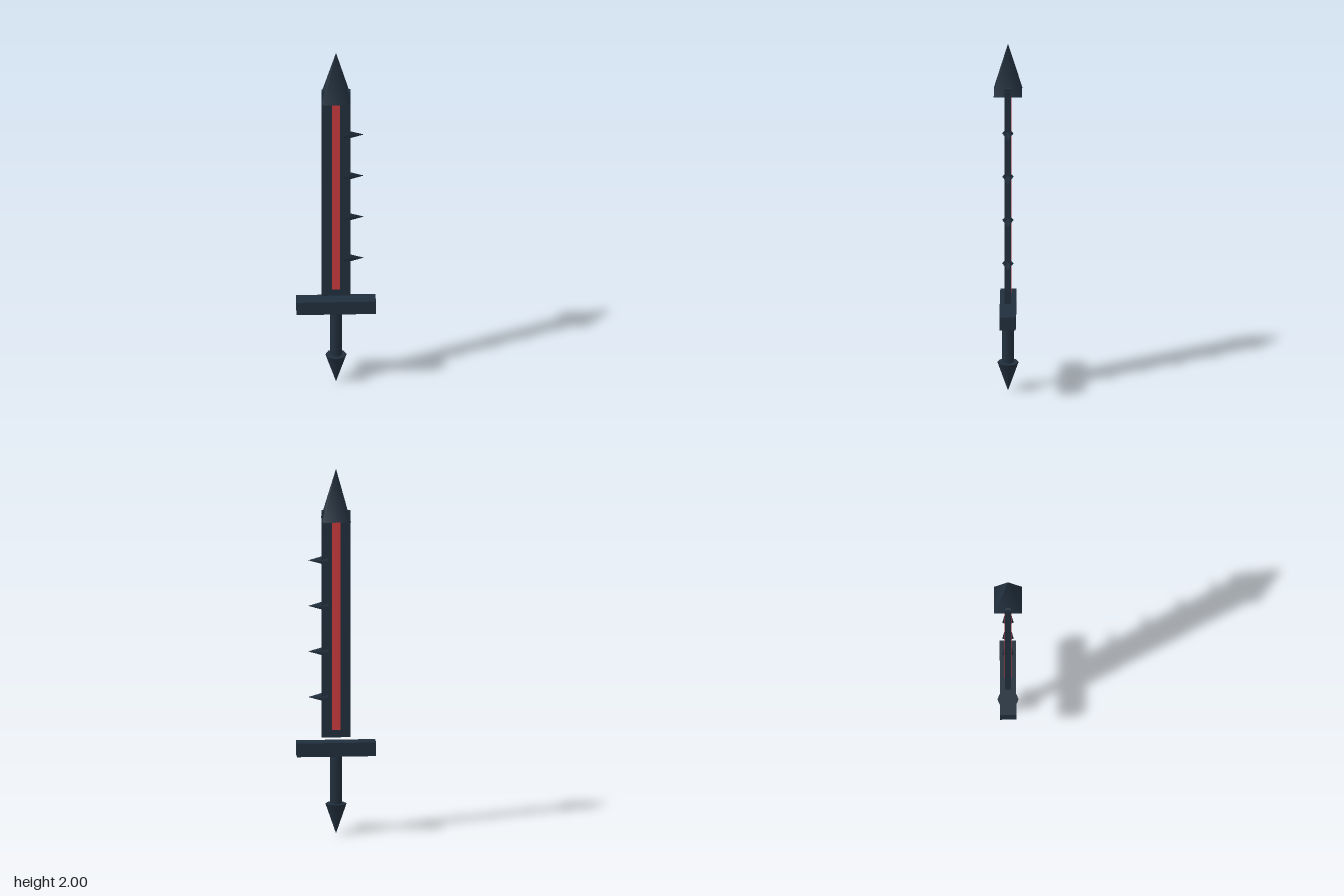
import * as THREE from 'three';

export function createModel() {
  const sword = new THREE.Group();
  sword.name = 'sword';

  const darkSteel = new THREE.MeshStandardMaterial({ color: 0x212f3d });
  darkSteel.name = 'dark steel';
  const red = new THREE.MeshStandardMaterial({ color: 0xcc3c3e });
  red.name = 'red inlay';

  const add = (name, geometry, material, x, y) => {
    const mesh = new THREE.Mesh(geometry, material);
    mesh.name = name;
    mesh.position.set(x, y, 0);
    sword.add(mesh);
    return mesh;
  };

  // Pommel: cone pointing down
  add('pommel', new THREE.ConeGeometry(0.057, 0.165, 8).rotateX(Math.PI), darkSteel, 0, 0.0825);

  // Grip and crossguard
  add('grip', new THREE.CylinderGeometry(0.031, 0.031, 0.3, 8), darkSteel, 0, 0.295);
  add('crossguard', new THREE.BoxGeometry(0.426, 0.075, 0.088), darkSteel, 0, 0.467);

  // Flat blade floating just above the guard
  add('blade', new THREE.BoxGeometry(0.156, 1.24, 0.033), darkSteel, 0, 1.15);

  // Inlay running through the blade, proud of both faces
  add('inlay', new THREE.BoxGeometry(0.044, 1.16, 0.039), red, 0, 1.15);

  // Four-sided tip with its faces square to the blade
  add('bladeTip', new THREE.ConeGeometry(0.107, 0.28, 4).rotateY(Math.PI / 4), darkSteel, 0, 1.86);

  // Row of barbs along one edge
  for (let i = 0; i < 4; i++) {
    add('barb', new THREE.ConeGeometry(0.031, 0.108, 4).rotateZ(-Math.PI / 2), darkSteel, 0.096, 0.75 + i * 0.25);
  }

  return sword;
}
